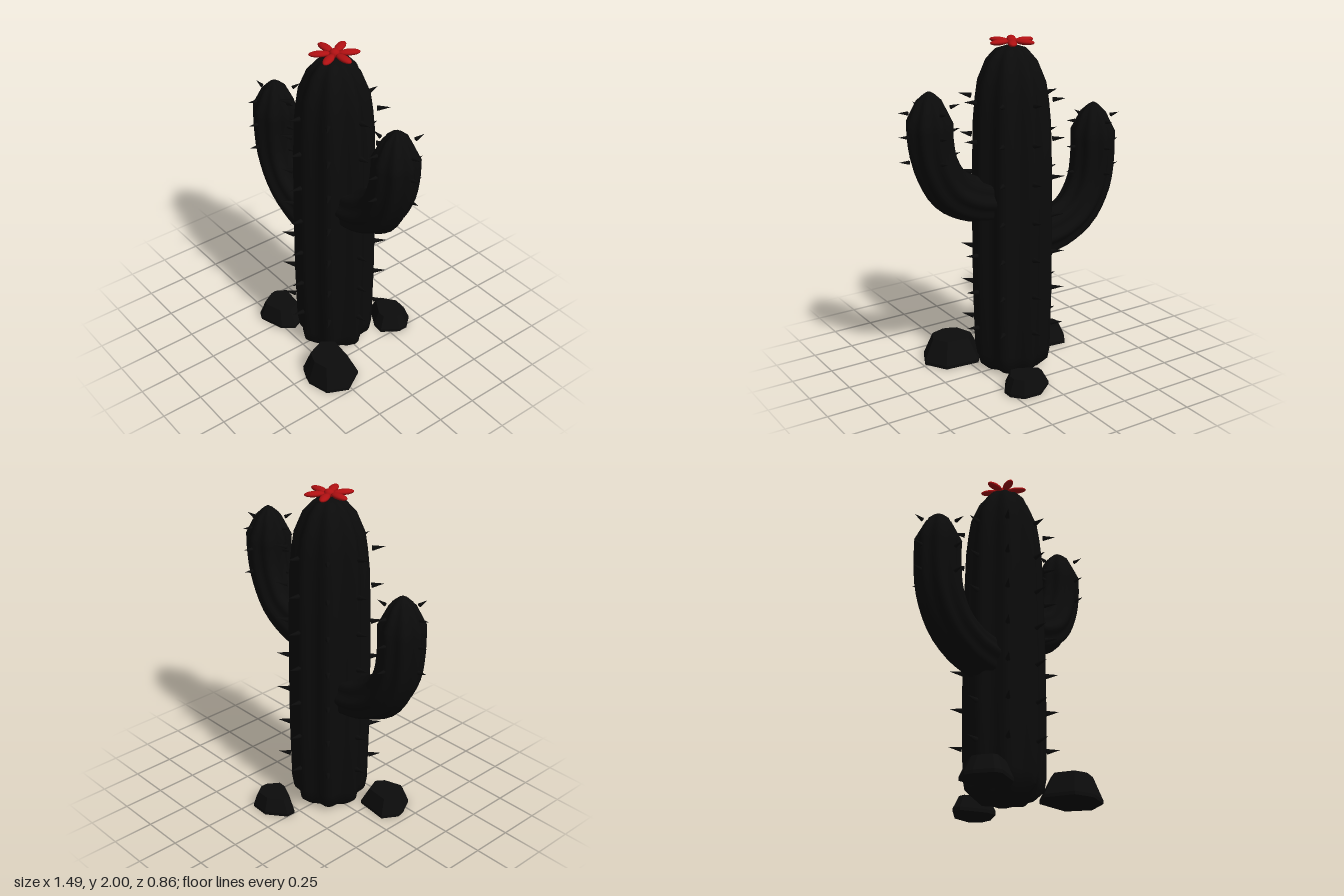
import * as THREE from 'three';
import { toCreasedNormals } from 'three/addons/utils/BufferGeometryUtils.js';
import { ConvexGeometry } from 'three/addons/geometries/ConvexGeometry.js';

const black = new THREE.MeshStandardMaterial({ color: 0x0b0b0b });
black.name = 'cactusBlack';
const rock = new THREE.MeshStandardMaterial({ color: 0x0c0c0c, flatShading: true });
rock.name = 'stoneBlack';
const red = new THREE.MeshStandardMaterial({ color: 0xb01012 });
red.name = 'flowerRed';

const CX = 0.02, CZ = 0.02, RIBS = 8, SEG = 48;

function add(parent, name, geometry, material) {
  const mesh = new THREE.Mesh(geometry, material);
  mesh.name = name;
  parent.add(mesh);
  return mesh;
}

// Ribbed skin over rings { x, y, r, t } whose centres lie in the plane z = CZ; t is the 2D direction
function ribbedLoft(rings, depth) {
  const pos = [], index = [];
  for (const { x, y, r, t } of rings) {
    for (let j = 0; j < SEG; j++) {
      const a = (j / SEG) * Math.PI * 2;
      const rr = r * (1 - depth / 2 + (depth / 2) * Math.cos(RIBS * a));
      pos.push(x - t.y * Math.cos(a) * rr, y + t.x * Math.cos(a) * rr, CZ + Math.sin(a) * rr);
    }
  }
  const first = rings[0], last = rings[rings.length - 1];
  const start = rings.length * SEG, top = (rings.length - 1) * SEG;
  pos.push(first.x, first.y, CZ, last.x, last.y, CZ);
  for (let j = 0; j < SEG; j++) {
    const k = (j + 1) % SEG;
    for (let i = 0; i < rings.length - 1; i++) {
      const a = i * SEG + j, b = i * SEG + k;
      index.push(a, b, a + SEG, b, b + SEG, a + SEG);
    }
    index.push(start, k, j, start + 1, top + j, top + k);
  }
  const geo = new THREE.BufferGeometry();
  geo.setAttribute('position', new THREE.Float32BufferAttribute(pos, 3));
  geo.setIndex(index);
  return toCreasedNormals(geo, 0.8);
}

// Spines pointing outwards around a vertical axis, tilted slightly up
function spineRing(parent, x, y, count, radius, length, width) {
  for (let i = 0; i < count; i++) {
    const a = (i / count) * Math.PI * 2;
    const dir = new THREE.Vector3(Math.cos(a), 0.16, Math.sin(a)).normalize();
    const spine = add(parent, 'spine', new THREE.ConeGeometry(width, length, 6), black);
    spine.quaternion.setFromUnitVectors(new THREE.Vector3(0, 1, 0), dir);
    spine.position.set(x + Math.cos(a) * radius, y, CZ + Math.sin(a) * radius)
      .addScaledVector(dir, length / 2);
  }
}

// Arm: a tube bending upwards, then a pointed cap
function arm(parent, name, points, spineRows) {
  const group = new THREE.Group();
  group.name = name;
  const curve = new THREE.CatmullRomCurve3(points.map(([x, y]) => new THREE.Vector3(x, y, 0)));
  const rings = [];
  for (let i = 0; i <= 16; i++) {
    const p = curve.getPointAt(i / 16);
    rings.push({ x: p.x, y: p.y, r: 0.134, t: curve.getTangentAt(i / 16) });
  }
  const end = rings[16], up = new THREE.Vector3(0, 1, 0);
  end.t = up;
  for (const [dy, r] of [[0.115, 0.075], [0.155, 0.03], [0.168, 0.008]]) {
    rings.push({ x: end.x, y: end.y + dy, r, t: up });
  }
  add(group, name + 'Body', ribbedLoft(rings, 0.14), black);
  for (const y of spineRows) spineRing(group, end.x, y, 4, 0.132, 0.06, 0.012);
  parent.add(group);
}

// Stone: hull of a footprint and a smaller flat top
function stone(parent, outline, height, shrink) {
  const n = outline.length;
  const mx = outline.reduce((s, p) => s + p[0], 0) / n;
  const mz = outline.reduce((s, p) => s + p[1], 0) / n;
  const pts = [];
  for (const [x, z] of outline) {
    pts.push(new THREE.Vector3(x, 0, z), new THREE.Vector3(x, 0.02, z));
    pts.push(new THREE.Vector3(mx + (x - mx) * shrink, height, mz + (z - mz) * shrink));
  }
  add(parent, 'stone', new ConvexGeometry(pts), rock);
}

export function createModel() {
  const model = new THREE.Group();
  model.name = 'cactus';

  // Trunk
  const up = new THREE.Vector3(0, 1, 0);
  const profile = [[0, 0.165], [0.05, 0.22], [0.12, 0.232], [0.5, 0.24], [0.9, 0.24], [1.25, 0.236],
    [1.52, 0.228], [1.65, 0.215], [1.75, 0.2], [1.87, 0.15], [1.93, 0.095], [1.955, 0.02]];
  add(model, 'trunk', ribbedLoft(profile.map(([y, r]) => ({ x: CX, y, r, t: up })), 0.15), black);
  const spines = new THREE.Group();
  spines.name = 'trunkSpines';
  for (let i = 0; i < 7; i++) spineRing(spines, CX, 0.285 + i * 0.228, RIBS, 0.238, 0.075, 0.016);
  model.add(spines);

  // Arms
  arm(model, 'leftArm', [[0.13, 1.07], [0.28, 1.095], [0.43, 1.18], [0.52, 1.34], [0.548, 1.48], [0.55, 1.585]],
    [1.375, 1.515, 1.65]);
  arm(model, 'rightArm', [[-0.12, 0.785], [-0.29, 0.815], [-0.44, 0.905], [-0.53, 1.06], [-0.555, 1.22], [-0.555, 1.383]],
    [1.14, 1.295, 1.455]);

  // Flower
  const flower = new THREE.Group();
  flower.name = 'flower';
  flower.position.set(CX, 1.975, 0.017);
  add(flower, 'flowerCentre', new THREE.SphereGeometry(0.03, 16, 12), red).scale.y = 0.83;
  for (let i = 0; i < 6; i++) {
    const a = (i / 6) * Math.PI * 2;
    const petal = add(flower, 'petal', new THREE.SphereGeometry(1, 16, 10), red);
    petal.scale.set(0.06, 0.016, 0.026);
    petal.rotation.y = -a;
    petal.position.set(Math.cos(a) * 0.081, 0, Math.sin(a) * 0.081);
  }
  model.add(flower);

  // Stones
  stone(model, [[0.12, 0.22], [0.18, 0.38], [0.25, 0.41], [0.3, 0.425], [0.43, 0.39], [0.487, 0.27],
    [0.41, 0.14], [0.2, 0.12]], 0.15, 0.66);
  stone(model, [[-0.455, 0.15], [-0.445, 0.2], [-0.39, 0.3], [-0.35, 0.318], [-0.2, 0.27], [-0.15, 0.2],
    [-0.2, 0.08], [-0.4, 0.06]], 0.11, 0.7);
  stone(model, [[0, -0.345], [0, -0.29], [0.14, -0.21], [0.21, -0.205], [0.275, -0.3], [0.275, -0.36],
    [0.22, -0.425], [0.11, -0.43]], 0.1, 0.72);

  return model;
}
